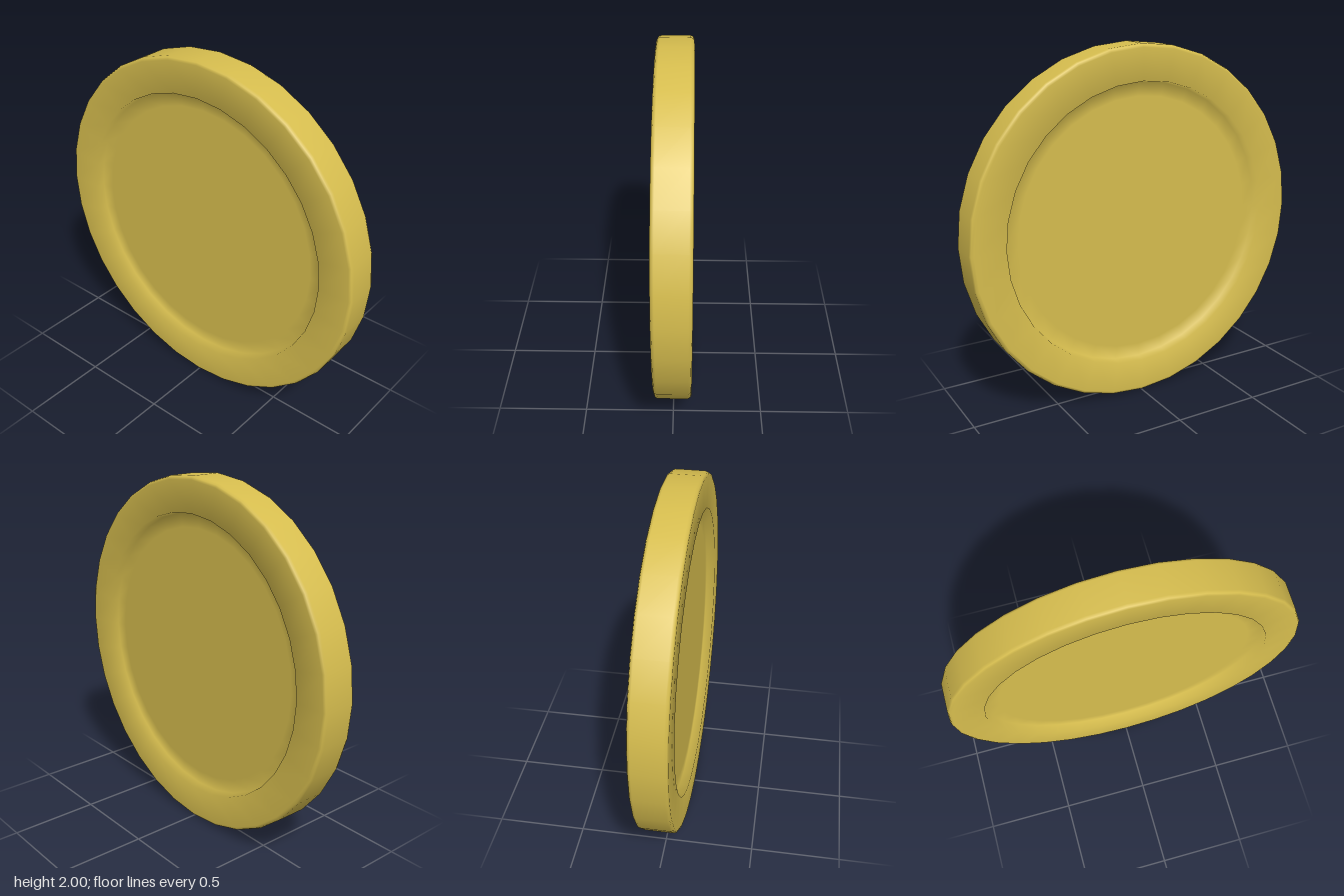
import * as THREE from 'three';

export function createModel() {
  const group = new THREE.Group();
  group.name = 'coin';

  // Half of the profile [radius, offset along the axis]: recessed face, raised rim, rounded edge
  const half = [
    [0, 0.05], [0.72, 0.05], [0.797, 0.05],
    [0.805, 0.1], [0.98, 0.1], [0.994, 0.094], [1, 0.08],
  ];
  const profile = [
    ...half.map(([r, h]) => new THREE.Vector2(r, -h)),
    ...[...half].reverse().map(([r, h]) => new THREE.Vector2(r, h)),
  ];

  // Disc turned so both faces look along x, standing on its edge
  const geometry = new THREE.LatheGeometry(profile, 32);
  geometry.rotateZ(Math.PI / 2);
  geometry.translate(0, 1, 0);

  const disc = new THREE.Mesh(geometry, new THREE.MeshStandardMaterial({ color: 0xd6bd4e }));
  disc.name = 'coinDisc';
  group.add(disc);
  return group;
}
